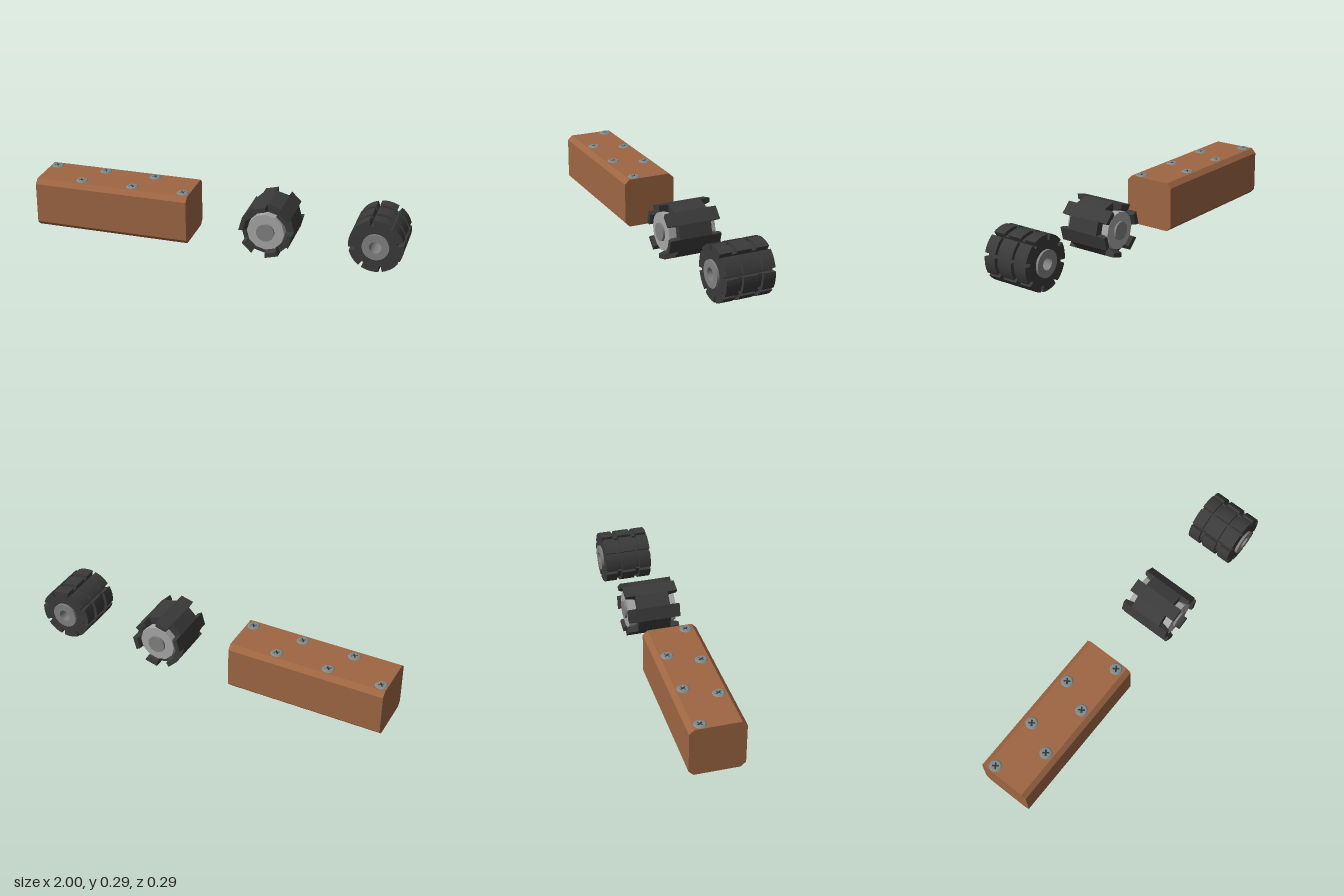
import * as THREE from 'three';

const mat = (color, flatShading = false) => new THREE.MeshStandardMaterial({ color, flatShading });
const WOOD = mat(0x9e6642, true), RUBBER = mat(0x3a3a3a), RUBBER_FLAT = mat(0x3a3a3a, true);
const STEEL = mat(0x808080), SCREW = mat(0x808a8a, true), PALE = mat(0xa6a6a6, true), DARK = mat(0x303434);
const DEG = Math.PI / 180, AXIS_Y = 0.144;

function add(parent, name, geometry, material) {
  const mesh = new THREE.Mesh(geometry, material);
  mesh.name = name;
  parent.add(mesh);
  return mesh;
}

const polar = (r, deg) => new THREE.Vector2(r * Math.cos(deg * DEG), r * Math.sin(deg * DEG));

function circlePath(r, n = 48) {
  return new THREE.Path(Array.from({ length: n }, (_, i) => polar(r, (i * 360) / n)));
}

// Extrusion along z from z0 to z1
function slab(shape, z0, z1) {
  return new THREE.ExtrudeGeometry(shape, { depth: z1 - z0, bevelEnabled: false }).translate(0, 0, z0);
}

// Long block with chamfered lengthwise edges
function makeBeam() {
  const w = 0.143, h = 0.135, c = 0.025;
  const pts = [[w - c, -h], [w, -h + c], [w, h - c], [w - c, h], [c - w, h], [-w, h - c], [-w, c - h], [c - w, -h]];
  const shape = new THREE.Shape(pts.map(p => new THREE.Vector2(...p)));
  return slab(shape, -0.425, 0.425).rotateY(Math.PI / 2).translate(-0.575, 0.148, 0);
}

// Round screw head with sloping rim and a cross-shaped recess, pointing up
function makeScrew() {
  const screw = new THREE.Group();
  screw.name = 'screw';
  const shape = new THREE.Shape(circlePath(0.033, 24).getPoints());
  const l = 0.018, t = 0.0045;
  const cross = [[l, t], [t, t], [t, l], [-t, l], [-t, t], [-l, t], [-l, -t], [-t, -t], [-t, -l], [t, -l], [t, -t], [l, -t]];
  shape.holes.push(new THREE.Path(cross.map(p => new THREE.Vector2(...p))));
  const geo = slab(shape, 0, 0.006);
  const p = geo.attributes.position;
  for (let i = 0; i < p.count; i++) {
    if (p.getZ(i) > 0.003 && Math.hypot(p.getX(i), p.getY(i)) > 0.03) {
      p.setXY(i, p.getX(i) * 0.78, p.getY(i) * 0.78);
    }
  }
  geo.computeVertexNormals();
  add(screw, 'screwHead', geo.rotateX(-Math.PI / 2), SCREW);
  const floor = new THREE.CircleGeometry(0.022, 16).rotateX(-Math.PI / 2).translate(0, 0.001, 0);
  add(screw, 'screwRecess', floor, DARK);
  return screw;
}

// Cylinder lying along z, with a corner at the top
function zCylinder(r, halfLength, sides) {
  return new THREE.CylinderGeometry(r, r, halfLength * 2, sides).rotateX(Math.PI / 2);
}

// One tooth of the twelve-sided wheel, its inner face flaring outward at the tip
function makeTooth(start) {
  const shape = new THREE.Shape([polar(0.1, start), polar(0.143, start), polar(0.143, start + 30), polar(0.1, start + 30)]);
  const geo = slab(shape, 0.09, 0.143);
  const p = geo.attributes.position;
  for (let i = 0; i < p.count; i++) {
    if (p.getZ(i) > 0.14 && Math.hypot(p.getX(i), p.getY(i)) < 0.11) {
      p.setXY(i, p.getX(i) * 1.18, p.getY(i) * 1.18);
    }
  }
  geo.computeVertexNormals();
  return geo;
}

function makeToothedWheel() {
  const wheel = new THREE.Group();
  wheel.name = 'toothedWheel';
  const ring = new THREE.Shape(circlePath(0.143, 12).getPoints());
  ring.holes.push(circlePath(0.1, 12));
  add(wheel, 'tyreRing', slab(ring, -0.09, 0.09), RUBBER_FLAT);
  // Teeth at the two ends alternate around the wheel
  for (let k = 0; k < 6; k++) {
    add(wheel, 'frontTooth', makeTooth(30 + k * 60), RUBBER_FLAT);
    add(wheel, 'backTooth', makeTooth(60 + k * 60).rotateY(Math.PI), RUBBER_FLAT);
  }
  add(wheel, 'hub', zCylinder(0.1, 0.13, 12), PALE);
  add(wheel, 'axle', zCylinder(0.048, 0.142, 24), STEEL);
  return wheel;
}

// Tread outline: a circle with eight narrow notches
function treadShape(r) {
  const pts = [], floor = 0.113, half = 3.8;
  for (let k = 0; k < 8; k++) {
    const a = 12 + k * 45;
    pts.push(polar(floor, a - half), polar(floor, a + half));
    for (let j = 0; j <= 6; j++) pts.push(polar(r, a + half + (j / 6) * (45 - 2 * half)));
  }
  const shape = new THREE.Shape(pts);
  shape.holes.push(circlePath(0.065));
  return shape;
}

function makeTreadedWheel() {
  const wheel = new THREE.Group();
  wheel.name = 'treadedWheel';
  for (const [z0, z1] of [[-0.13, -0.065], [-0.04, 0.04], [0.065, 0.13]]) {
    add(wheel, 'treadBand', slab(treadShape(0.143), z0, z1), RUBBER);
  }
  for (const [z0, z1] of [[-0.065, -0.04], [0.04, 0.065]]) {
    add(wheel, 'treadGroove', slab(treadShape(0.125), z0, z1), RUBBER);
  }
  // Sleeve with a through hole
  const profile = [[0.032, -0.143], [0.07, -0.143], [0.07, 0.143], [0.032, 0.143]];
  const sleeve = new THREE.Shape(circlePath(0.07).getPoints());
  sleeve.holes.push(circlePath(profile[0][0]));
  add(wheel, 'sleeve', slab(sleeve, -0.143, 0.143), STEEL);
  return wheel;
}

export function createModel() {
  const model = new THREE.Group();
  model.name = 'beamAndWheels';
  add(model, 'beam', makeBeam(), WOOD);

  // Two staggered rows of screws on top, two screws underneath
  const topScrews = [[-0.965, -0.08], [-0.68, -0.08], [-0.395, -0.08], [-0.757, 0.076], [-0.47, 0.076], [-0.187, 0.076]];
  for (const [x, z] of topScrews) {
    const screw = makeScrew();
    screw.position.set(x, 0.283, z);
    screw.rotation.y = 0.6;
    model.add(screw);
  }
  for (const [x, z] of [[-0.395, 0.08], [-0.187, -0.076]]) {
    const screw = makeScrew();
    screw.position.set(x, 0.013, z);
    screw.rotation.set(Math.PI, 0.6, 0);
    model.add(screw);
  }

  const toothed = makeToothedWheel();
  toothed.position.set(0.28, AXIS_Y, 0);
  const treaded = makeTreadedWheel();
  treaded.position.set(0.857, AXIS_Y, 0);
  model.add(toothed, treaded);
  return model;
}
